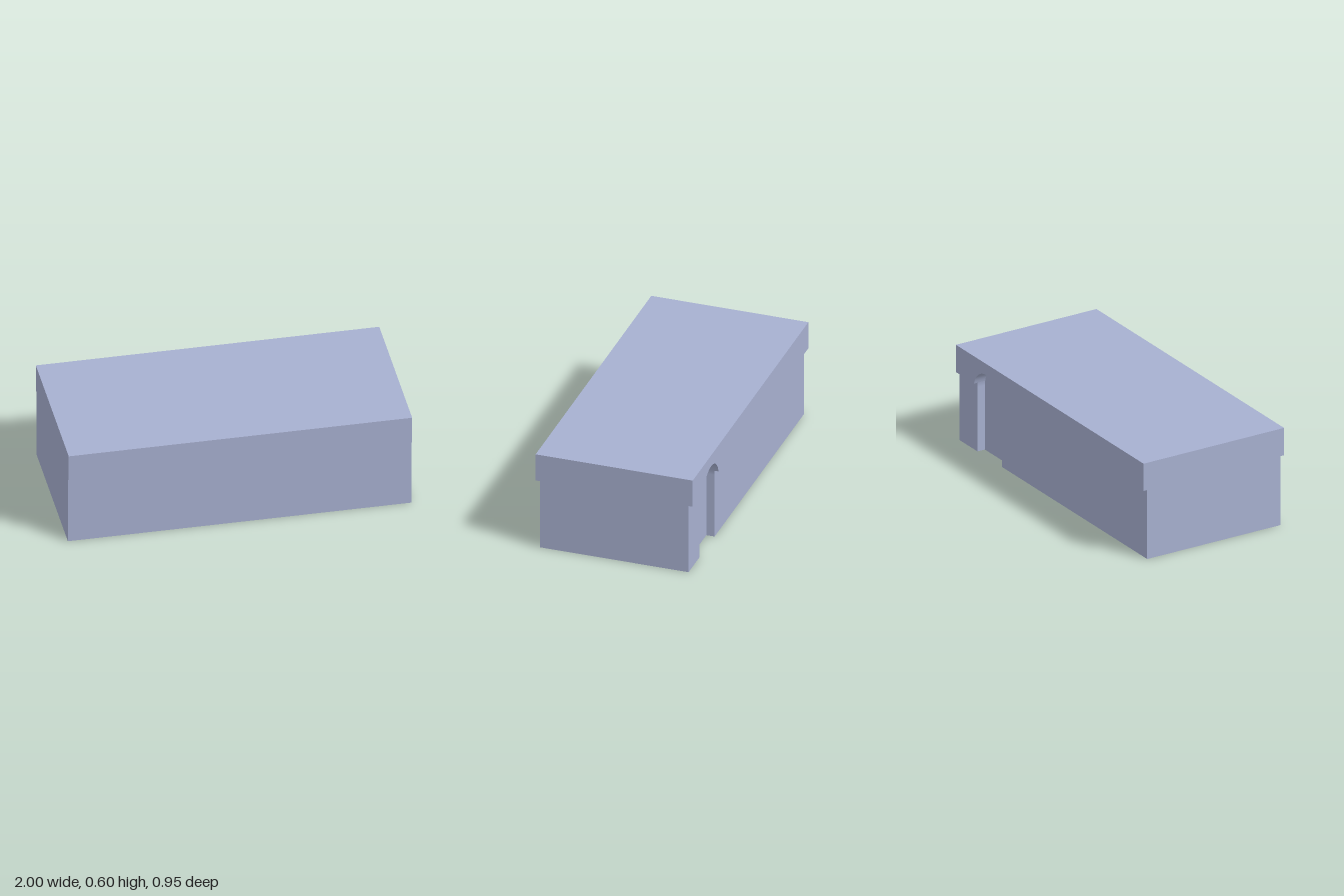
import * as THREE from 'three';

const H = 0.43, TOP = 0.6;            // wall height, lid height
const WALL_Z = 0.45, LID_Z = 0.475;   // half depths of walls and lid
const DOOR = { x: 0.68, r: 0.13, spring: 0.4, z: -0.4 };

export function createModel() {
  const group = new THREE.Group();
  const blue = new THREE.MeshStandardMaterial({ color: 0xa7b0d0, side: THREE.DoubleSide });
  blue.name = 'greyBlue';

  const add = (name, geometry) => {
    const mesh = new THREE.Mesh(geometry, blue);
    mesh.name = name;
    group.add(mesh);
    return mesh;
  };
  // Flat sheet from an outline, turned about y and moved outwards
  const sheet = (name, pts, angle, x, z) => {
    const shape = new THREE.Shape(pts.map(([a, b]) => new THREE.Vector2(a, b)));
    return add(name, new THREE.ShapeGeometry(shape).rotateY(angle).translate(x, 0, z));
  };
  // Sheet facing the back, outlined in model x and y
  const backSheet = (name, pts, z) => sheet(name, pts.map(([x, y]) => [-x, y]), Math.PI, 0, z);
  // Horizontal rectangle
  const slab = (name, x0, x1, z0, z1, y, down) => add(name,
    new THREE.PlaneGeometry(x1 - x0, z1 - z0).rotateX(down ? Math.PI / 2 : -Math.PI / 2)
      .translate((x0 + x1) / 2, y, (z0 + z1) / 2));
  // Strip that follows a line of points between two depths
  const ribbon = (name, pts, z0, z1) => {
    const pos = [], index = [];
    pts.forEach(([x, y], i) => {
      pos.push(x, y, z0, x, y, z1);
      const a = i * 2;
      if (i) index.push(a - 2, a, a - 1, a - 1, a, a + 1);
    });
    const g = new THREE.BufferGeometry();
    g.setAttribute('position', new THREE.Float32BufferAttribute(pos, 3));
    g.setIndex(index);
    g.computeVertexNormals();
    return add(name, g);
  };
  const rect = (y0, y1) => [[-1, y0], [1, y0], [1, y1], [-1, y1]];

  // Arched doorway, split where it passes from wall into lid
  const arc = (from, to, n) => Array.from({ length: n + 1 }, (_, i) => {
    const a = from + (to - from) * i / n;
    return [DOOR.x + DOOR.r * Math.cos(a), DOOR.spring + DOOR.r * Math.sin(a)];
  });
  const cut = Math.asin((H - DOOR.spring) / DOOR.r);
  const rightLeg = [[DOOR.x + DOOR.r, 0], ...arc(0, cut, 3)];
  const arch = arc(cut, Math.PI - cut, 24);
  const leftLeg = [...arc(Math.PI - cut, Math.PI, 3), [DOOR.x - DOOR.r, 0]];

  // Front wall and lid band
  sheet('frontWall', rect(0, H), 0, 0, WALL_Z);
  sheet('frontLidBand', rect(H, TOP), 0, 0, LID_Z);
  slab('frontLedge', -1, 1, WALL_Z, LID_Z, H, true);

  // Side walls, stepped out under the lid
  const side = [[-WALL_Z, 0], [WALL_Z, 0], [WALL_Z, H], [LID_Z, H],
    [LID_Z, TOP], [-LID_Z, TOP], [-LID_Z, H], [-WALL_Z, H]];
  for (const s of [1, -1]) sheet(s > 0 ? 'leftSide' : 'rightSide', side, s * Math.PI / 2, s, 0);

  // Back wall and band, both notched for the doorway
  backSheet('backWallLong', [[-1, 0], [-1, H], ...leftLeg], -WALL_Z);
  backSheet('backWallShort', [[1, 0], ...rightLeg, [1, H]], -WALL_Z);
  backSheet('backLidBand', [[-1, TOP], [1, TOP], [1, H], ...arch, [-1, H]], -LID_Z);
  slab('backLedgeLong', -1, arch[arch.length - 1][0], -LID_Z, -WALL_Z, H, true);
  slab('backLedgeShort', arch[0][0], 1, -LID_Z, -WALL_Z, H, true);

  // Recessed door and its reveals
  ribbon('doorJamb', rightLeg, -WALL_Z, DOOR.z);
  ribbon('doorArch', arch, -LID_Z, DOOR.z);
  ribbon('doorJamb', leftLeg, -WALL_Z, DOOR.z);
  backSheet('door', [...rightLeg, ...arch.slice(1, -1), ...leftLeg], DOOR.z);

  // Lid top
  slab('lidTop', -1, 1, -LID_Z, LID_Z, TOP, false);
  return group;
}
